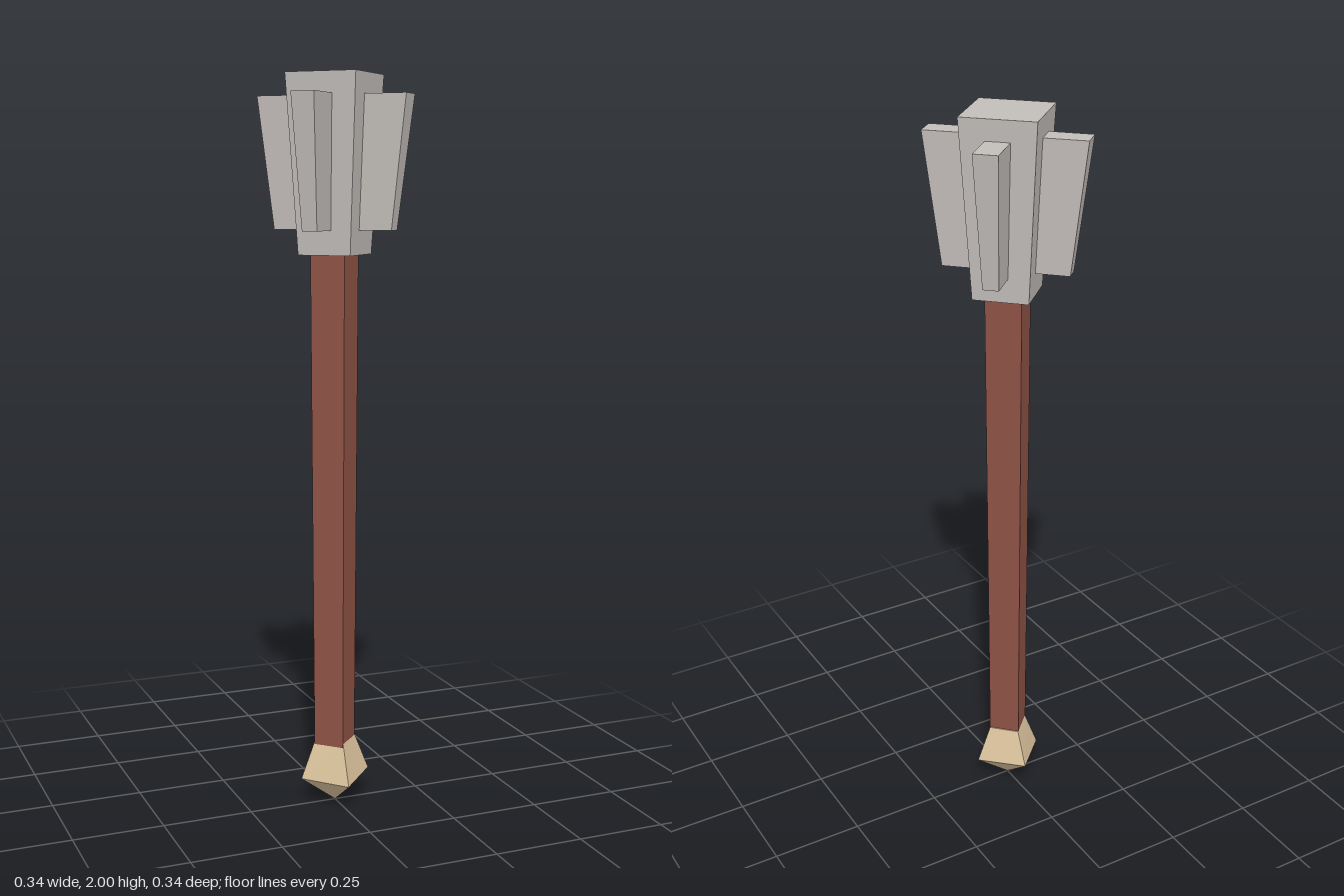
import * as THREE from 'three';

const mat = (name, color) => {
  const m = new THREE.MeshStandardMaterial({ color });
  m.name = name;
  return m;
};

// Faceted mesh: every face keeps its own flat normal
function facet(name, geometry, material) {
  const g = geometry.index ? geometry.toNonIndexed() : geometry;
  g.computeVertexNormals();
  const mesh = new THREE.Mesh(g, material);
  mesh.name = name;
  return mesh;
}

// Four-sided tapered solid with its corners on the x and z axes
function prism(name, rTop, rBottom, y0, y1, material) {
  const g = new THREE.CylinderGeometry(rTop, rBottom, y1 - y0, 4);
  g.translate(0, (y0 + y1) / 2, 0);
  return facet(name, g, material);
}

// Flange that leans outwards and thickens towards the top
function flangeGeometry() {
  const g = new THREE.BoxGeometry(1, 1, 1);
  const p = g.attributes.position;
  for (let i = 0; i < p.count; i++) {
    const top = p.getY(i) > 0;
    const outer = top ? 0.211 : 0.168;
    const half = top ? 0.032 : 0.021;
    p.setXYZ(i, p.getX(i) > 0 ? outer : 0.04, top ? 1.945 : 1.595, Math.sign(p.getZ(i)) * half);
  }
  return g;
}

export function createModel() {
  const steel = mat('steel grey', 0xc2bdb9);
  const wood = mat('red brown wood', 0x8e5245);
  const brass = mat('pale tan', 0xdac29c);
  const mace = new THREE.Group();
  mace.name = 'mace';

  // Head block
  mace.add(prism('head', 0.14, 0.105, 1.53, 2, steel));

  // Four flanges, one on each face of the head
  for (let i = 0; i < 4; i++) {
    const flange = facet('flange', flangeGeometry(), steel);
    flange.rotation.y = Math.PI / 4 + i * Math.PI / 2;
    mace.add(flange);
  }

  // Handle, very slightly off centre
  const handle = prism('handle', 0.069, 0.06, 0.17, 1.54, wood);
  handle.position.set(-0.002, 0, 0.002);
  mace.add(handle);

  // Pommel: tapered collar above a pointed end, with an uneven waist
  const pommel = new THREE.CylinderGeometry(0.06, 0.101, 1, 4);
  const tip = new THREE.CylinderGeometry(0.101, 0, 1, 4);
  const waist = (x, z) => 0.08 + x * 0.025 - z * 0.06;
  for (const [g, high, low] of [[pommel, 0.185, null], [tip, null, 0.003]]) {
    const p = g.attributes.position;
    for (let i = 0; i < p.count; i++) {
      const y = p.getY(i) > 0 ? high : low;
      p.setY(i, y ?? waist(p.getX(i), p.getZ(i)));
    }
  }
  mace.add(facet('pommelCollar', pommel, brass), facet('pommelTip', tip, brass));

  return mace;
}
